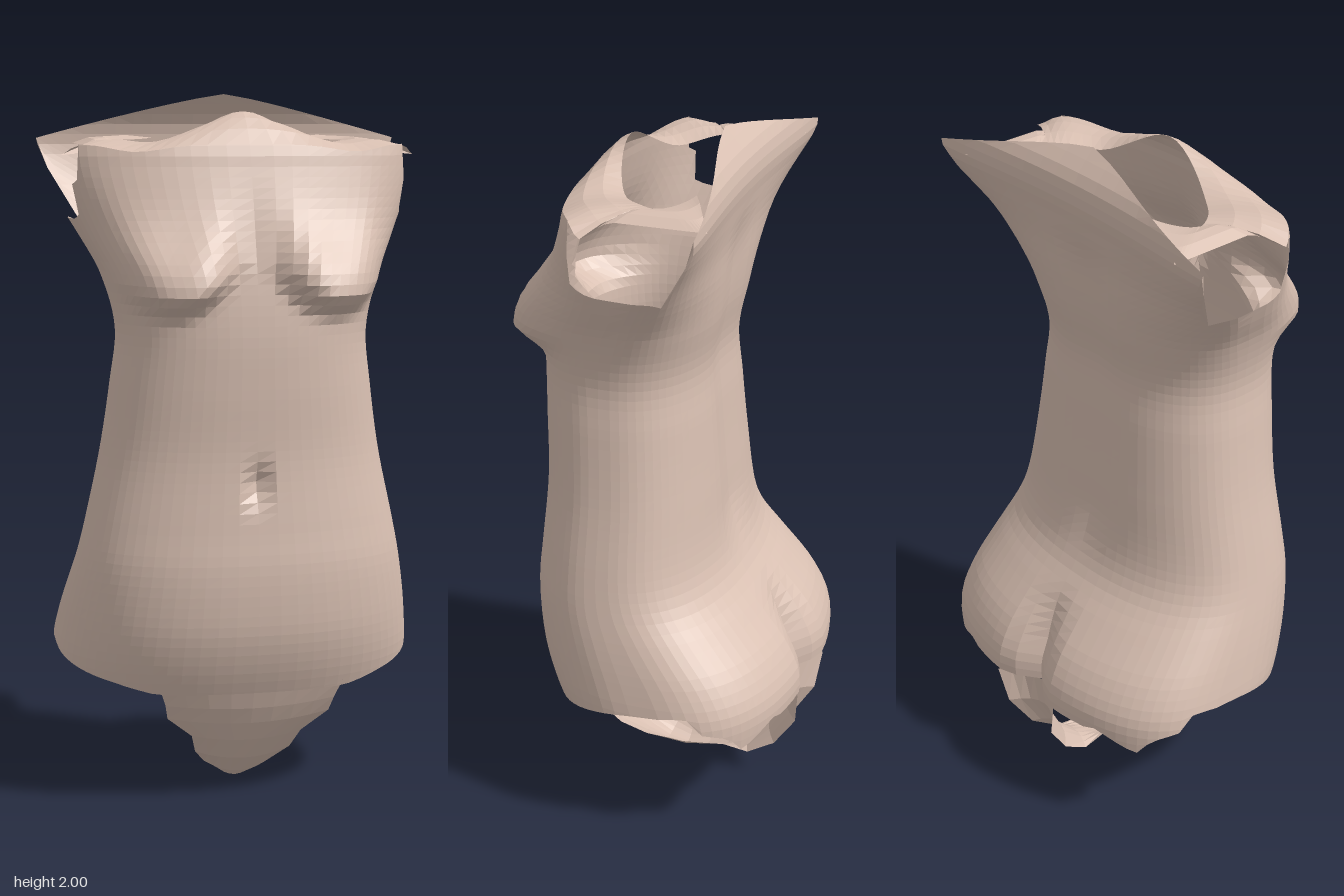
import * as THREE from 'three';

const { clamp, lerp, smoothstep } = THREE.MathUtils;
const bump = (d, s, p = 2) => Math.exp(-Math.pow(Math.abs(d) / s, p));
const pow = (v, p) => Math.sign(v) * Math.pow(Math.abs(v), p);
const RAD = Math.PI / 180;

// Lookup in rows sorted by their first entry, straight or with a smooth curve through the rows.
function lookup(rows, t, smooth = false) {
  let i = 0;
  while (i < rows.length - 2 && t > rows[i + 1][0]) i++;
  const a = rows[i], b = rows[i + 1], h = b[0] - a[0];
  const p = rows[Math.max(i - 1, 0)], q = rows[Math.min(i + 2, rows.length - 1)];
  const k = clamp((t - a[0]) / h, 0, 1);
  return a.map((v, n) => {
    const line = lerp(v, b[n], k);
    if (!smooth) return line;
    const d = b[n] - v;
    const ma = h * (b[n] - p[n]) / (b[0] - p[0]) - d, mb = h * (q[n] - v) / (q[0] - a[0]) - d;
    return line + k * (1 - k) * ((1 - k) * ma - k * mb);
  });
}

// Surface grid from a point function; collapsed triangles are left out.
function grid(nu, nv, point) {
  const pos = [], index = [], P = [];
  for (let j = 0; j <= nv; j++)
    for (let i = 0; i <= nu; i++) {
      const p = point(i / nu, j / nv);
      P.push(p);
      pos.push(p.x, p.y, p.z);
    }
  const tri = (a, b, c) => {
    if (new THREE.Triangle(P[a], P[b], P[c]).getArea() > 1e-7) index.push(a, b, c);
  };
  for (let j = 0; j < nv; j++)
    for (let i = 0; i < nu; i++) {
      const a = j * (nu + 1) + i, b = a + 1, c = b + nu + 1, d = c - 1;
      tri(a, b, c);
      tri(a, c, d);
    }
  const g = new THREE.BufferGeometry();
  g.setAttribute('position', new THREE.Float32BufferAttribute(pos, 3));
  g.setIndex(index);
  g.computeVertexNormals();
  return g;
}

// Height, front half width, back half width, front z, back z
const SECTIONS = [
  [0.28, 0.51, 0.51, 0.285, -0.405],
  [0.40, 0.517, 0.517, 0.34, -0.412],
  [0.50, 0.505, 0.505, 0.37, -0.37],
  [0.60, 0.487, 0.487, 0.38, -0.29],
  [0.70, 0.465, 0.465, 0.38, -0.21],
  [0.80, 0.443, 0.443, 0.37, -0.175],
  [1.00, 0.40, 0.40, 0.355, -0.155],
  [1.20, 0.37, 0.37, 0.36, -0.14],
  [1.35, 0.355, 0.355, 0.36, -0.13],
  [1.50, 0.39, 0.39, 0.345, -0.155],
  [1.60, 0.44, 0.44, 0.32, -0.165],
  [1.70, 0.485, 0.50, 0.293, -0.17],
  [1.80, 0.515, 0.58, 0.262, -0.185],
  [1.86, 0.52, 0.63, 0.24, -0.195],
  [1.93, 0.52, 0.63, 0.16, -0.18],
  [2.00, 0.52, 0.63, 0.15, -0.12],
];

// Point on the torso at angle a (0 front, +90 the left side) and height y
function torsoPoint(a, y) {
  const [, wf, wb, zf, zb] = lookup(SECTIONS, y, true);
  const s = Math.sin(a * RAD), c = Math.cos(a * RAD);
  const front = c > 0;
  const mid = lerp((zf + zb) / 2, 0.03, smoothstep(y, 1.4, 1.7));
  const x = (front ? wf : wb) * pow(s, 0.85);
  const upper = smoothstep(y, 1.5, 1.85);
  const hip = 1 - smoothstep(y, 0.4, 0.8);
  const flat = front ? 0.85 - 0.2 * bump(y - 1.52, 0.17) : lerp(0.82, 0.25, upper) - 0.22 * hip;
  let z = mid + (front ? zf - mid : mid - zb) * pow(c, flat);
  const ax = Math.abs(x);
  if (front) {
    const dy = y - 1.452 - 3 * Math.pow(ax - 0.235, 2);
    z += 0.095 * bump(ax - 0.225, 0.14, 3.5) * bump(dy, dy < 0 ? 0.042 : 0.15, 2.2); // bust
    z -= 0.03 * bump(x, 0.025) * bump(y - 0.93, 0.05);                            // navel
  } else {
    z += 0.07 * bump(x, 0.06) * (1 - smoothstep(y, 0.45, 0.66));                  // cleft
    z += 0.02 * bump(x, 0.08) * smoothstep(y, 0.7, 0.9) * (1 - smoothstep(y, 1.6, 1.8)); // spine
    z -= 0.2 * x * x * upper;                                                     // shoulder blades
  }
  return new THREE.Vector3(x, y, z);
}

// Ragged edge offset that is the same on both sides
const jag = (a, size) => size * Math.sin(Math.abs(a) * 12.7);

function bottomEdge(a) {
  const b = Math.abs(a);
  const edge = [[0, 0.33], [28, 0.33], [45, 0.36], [75, 0.4], [100, 0.43], [106, 0.43], [110, 0.37],
    [124, 0.37], [128, 0.32], [140, 0.33], [152, 0.34], [180, 0.34]];
  return lookup(edge, b)[1] + (b > 105 && b < 155 ? jag(a, 0.015) : 0);
}

function topEdge(a) {
  const b = Math.abs(a);
  if (b <= 62) return 1.86 - 0.02 * bump(b - 33, 13);
  if (b < 70) return 1.75 + jag(a, 0.02);
  if (b < 116) return lerp(1.68, 1.63, (b - 70) / 46) + jag(a, 0.01);
  if (b < 121) return 1.8 + jag(a, 0.03);
  return 2 - 0.13 * Math.min(1, Math.sin(b * RAD) / 0.85);
}

// Crotch strip, front to back: height, z, half width, inward bend of the edges
const STRIP = [
  [0.34, 0.312, 0.265, 0.03], [0.28, 0.288, 0.245, 0.032], [0.23, 0.262, 0.235, 0.035],
  [0.17, 0.225, 0.16, 0.025], [0.10, 0.17, 0.14, 0.03], [0.04, 0.10, 0.1, 0.035],
  [0.01, 0.04, 0.065, 0.035], [0, -0.02, 0.05, 0.03], [0.015, -0.09, 0.05, 0.025],
  [0.04, -0.16, 0.055, 0.015], [0.075, -0.22, 0.07, -0.025], [0.14, -0.285, 0.08, -0.045],
  [0.24, -0.335, 0.1, -0.06], [0.34, -0.345, 0.13, -0.062],
];

export function createModel() {
  const group = new THREE.Group();
  const skin = new THREE.MeshStandardMaterial({ color: 0xd9c0b2 });
  skin.name = 'skin';
  skin.flatShading = true;
  skin.side = THREE.DoubleSide;
  const add = (name, geometry) => {
    const m = new THREE.Mesh(geometry, skin);
    m.name = name;
    group.add(m);
  };

  // Torso shell, clipped at its ragged hem, armholes and back collar
  add('torso', grid(72, 60, (u, v) => {
    const a = -180 + 360 * u;
    return torsoPoint(a, clamp(0.28 + 1.72 * v, bottomEdge(a), topEdge(a)));
  }));

  // Shoulder yoke and straps, running in to the neck opening
  add('shoulderYoke', grid(56, 3, (u, v) => {
    const a = -140 + 280 * u, b = Math.abs(a);
    const s = Math.sin(a * RAD), c = Math.cos(a * RAD);
    const outer = torsoPoint(a, b <= 62 ? topEdge(a) : 1.86);
    const reach = b < 80 ? 0.51 : 0.43;
    outer.x = clamp(outer.x, -reach, reach);
    outer.y -= 0.03 * bump(b - 75, 10);
    const nx = 0.33 * s;
    const nz = -0.04 + (c > 0 ? 0.19 * Math.pow(c, 1.5) : 0.1 * c);
    const dip = c > 0 ? 0.02 * bump(Math.abs(nx) - 0.22, 0.07) : 0;
    const inner = new THREE.Vector3(nx, 1.87 + 0.08 * bump(nx, 0.13) - dip, nz);
    const p = outer.lerp(inner, v);
    p.y += 0.015 * Math.sin(Math.PI * v);
    return p;
  }));

  // Strip from the lower belly, underneath, and up between the buttocks
  add('crotchStrip', grid(8, STRIP.length - 1, (u, v) => {
    const i = Math.round(v * (STRIP.length - 1));
    const [y, z, half, bend] = STRIP[i];
    const p = STRIP[Math.max(i - 1, 0)], n = STRIP[Math.min(i + 1, STRIP.length - 1)];
    const t = new THREE.Vector2(n[0] - p[0], n[1] - p[1]).normalize();
    const k = 1 - 2 * u, off = bend * k * k;
    return new THREE.Vector3(half * k, y - t.y * off, z + t.x * off);
  }));

  return group;
}
